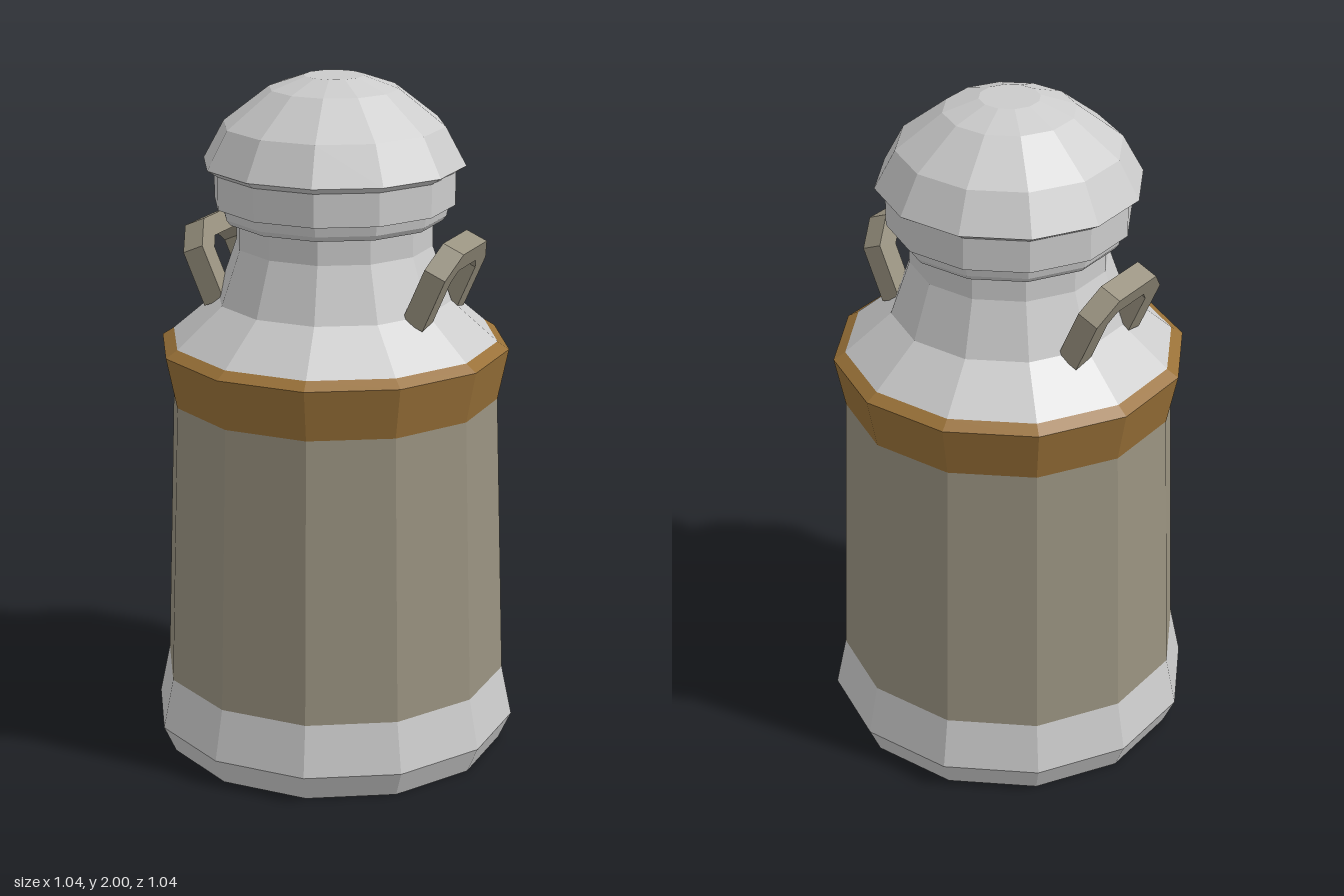
import * as THREE from 'three';

const SIDES = 12;
const material = (color) => new THREE.MeshStandardMaterial({ color, flatShading: true });

// Twelve-sided turned part; profile radii are measured to the middle of the flats
function turned(name, profile, mat) {
  const k = 1 / Math.cos(Math.PI / SIDES);
  const points = profile.map(([r, y]) => new THREE.Vector2(r * k, y));
  const mesh = new THREE.Mesh(new THREE.LatheGeometry(points, SIDES, Math.PI / SIDES), mat);
  mesh.name = name;
  return mesh;
}

// Chamfered U-shaped grip, leaning outward from the shoulder
function handleGeometry() {
  const half = [[0.157, 0], [0.157, 0.165], [0.09, 0.235], [0.065, 0.177], [0.093, 0.147], [0.093, 0.016]];
  const outer = half.slice(0, 3);
  const inner = half.slice(3);
  const flip = (list) => list.map(([x, y]) => [-x, y]).reverse();
  const outline = [...outer, ...flip(outer), ...flip(inner), ...inner];
  const shape = new THREE.Shape(outline.map(([x, y]) => new THREE.Vector2(x, y)));
  const geometry = new THREE.ExtrudeGeometry(shape, { depth: 0.067, bevelEnabled: false });
  const along = new THREE.Vector3(0.4, 0.917, 0).normalize();
  const across = new THREE.Vector3(0, 0, 1);
  const inward = new THREE.Vector3().crossVectors(across, along);
  const frame = new THREE.Matrix4().makeBasis(across, along, inward).setPosition(0.34, 1.328, 0);
  return geometry.applyMatrix4(frame);
}

export function createModel() {
  const model = new THREE.Group();
  model.name = 'milkCan';
  const steel = material(0xcccccc);
  const aged = material(0x999280);
  const copper = material(0x997138);

  // Can, from the floor up
  model.add(
    turned('base', [[0, 0], [0.487, 0], [0.522, 0.08], [0.492, 0.23]], steel),
    turned('body', [[0.492, 0.23], [0.463, 1.07]], aged),
    turned('band', [[0.463, 1.07], [0.493, 1.22], [0.46, 1.242]], copper),
    turned('shoulderAndNeck', [[0.46, 1.242], [0.33, 1.358], [0.276, 1.517], [0.276, 1.592]], steel),
  );

  // Lid with stepped collar and faceted dome
  model.add(
    turned('lidCollar', [[0.276, 1.592], [0.302, 1.592], [0.313, 1.607], [0.319, 1.638],
      [0.337, 1.638], [0.337, 1.733]], steel),
    turned('lidDome', [[0.337, 1.733], [0.366, 1.752], [0.308, 1.862], [0.18, 1.965],
      [0.083, 2], [0, 2]], steel),
  );

  // Handles on both sides
  const geometry = handleGeometry();
  for (const [name, turn] of [['leftHandle', 0], ['rightHandle', Math.PI]]) {
    const handle = new THREE.Mesh(geometry, aged);
    handle.name = name;
    handle.rotation.y = turn;
    model.add(handle);
  }
  return model;
}
